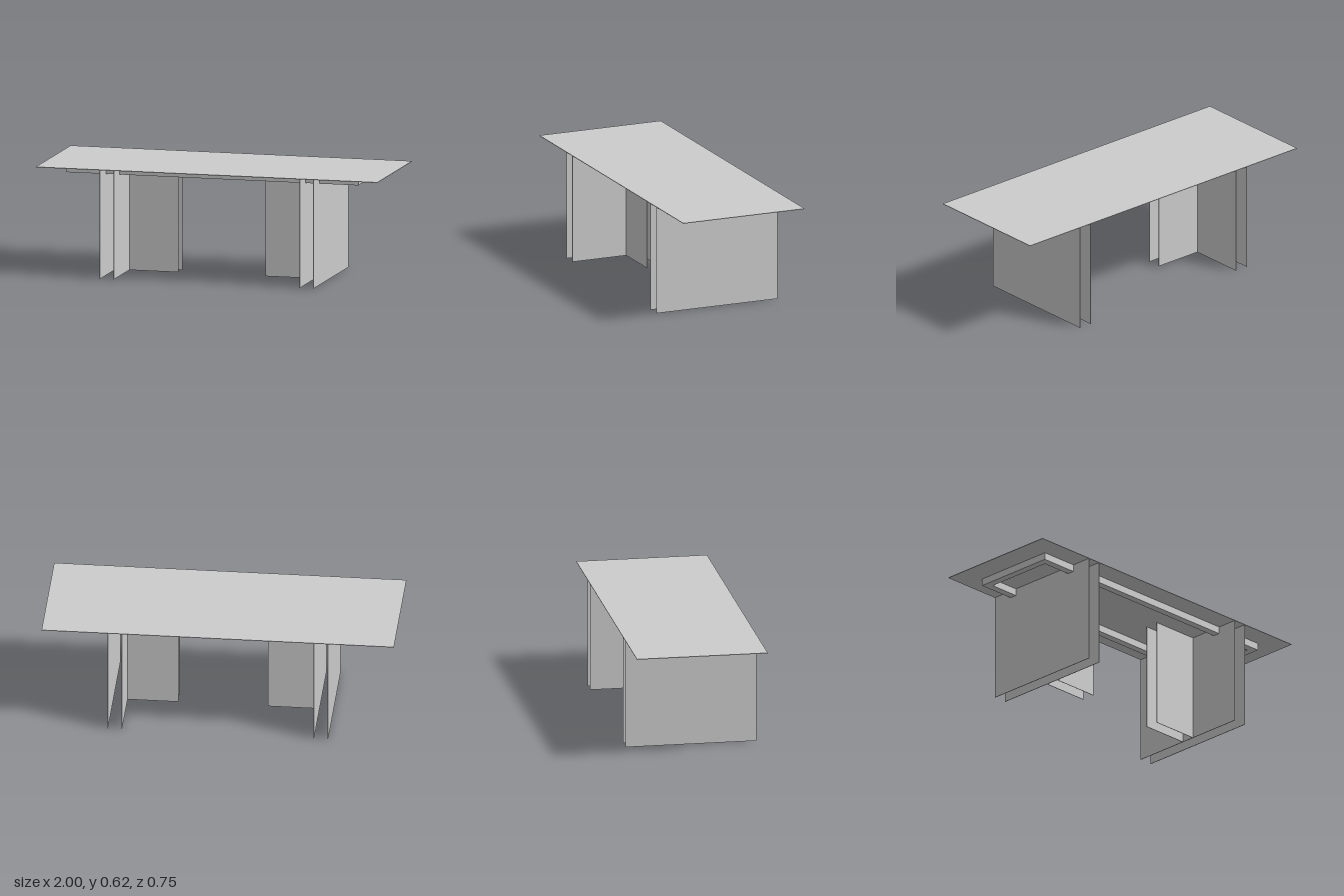
import * as THREE from 'three';

const material = new THREE.MeshStandardMaterial({ color: 0xcccccc, flatShading: true });
const HEIGHT = 0.625;
const DEPTH = 0.75;
const SHEET = 0.003; // thickness of top and leg sheets
const UNDER = HEIGHT - SHEET; // underside of the top

function addBox(parent, name, [w, h, d], [x, y, z]) {
  const mesh = new THREE.Mesh(new THREE.BoxGeometry(w, h, d), material);
  mesh.name = name;
  mesh.position.set(x, y, z);
  parent.add(mesh);
}

// Rectangular ring of square bars under the top
function createFrame() {
  const halfX = 0.855, halfZ = 0.25, bar = 0.043;
  const shape = new THREE.Shape([
    new THREE.Vector2(-halfX, -halfZ), new THREE.Vector2(halfX, -halfZ),
    new THREE.Vector2(halfX, halfZ), new THREE.Vector2(-halfX, halfZ),
  ]);
  const ix = halfX - bar, iz = halfZ - bar;
  shape.holes.push(new THREE.Path([
    new THREE.Vector2(-ix, -iz), new THREE.Vector2(-ix, iz),
    new THREE.Vector2(ix, iz), new THREE.Vector2(ix, -iz),
  ]));
  const geometry = new THREE.ExtrudeGeometry(shape, { depth: 0.041, bevelEnabled: false });
  geometry.rotateX(-Math.PI / 2);
  const frame = new THREE.Mesh(geometry, material);
  frame.name = 'supportFrame';
  frame.position.y = UNDER - 0.041;
  return frame;
}

// One pedestal: two full-depth sheets and two inward fins
function createPedestal(side) {
  const pedestal = new THREE.Group();
  pedestal.name = side > 0 ? 'leftPedestal' : 'rightPedestal';
  addBox(pedestal, 'outerPanel', [SHEET, UNDER, DEPTH], [side * 0.625, UNDER / 2, 0]);
  addBox(pedestal, 'innerPanel', [SHEET, UNDER, DEPTH], [side * 0.545, UNDER / 2, 0]);
  for (const z of [-0.04, 0.04]) {
    addBox(pedestal, z > 0 ? 'frontFin' : 'backFin', [0.29, UNDER, SHEET], [side * 0.4, UNDER / 2, z]);
  }
  return pedestal;
}

export function createModel() {
  const table = new THREE.Group();
  table.name = 'table';
  addBox(table, 'tabletop', [2, SHEET, DEPTH], [0, HEIGHT - SHEET / 2, 0]);
  table.add(createFrame());
  for (const side of [-1, 1]) table.add(createPedestal(side));
  return table;
}
